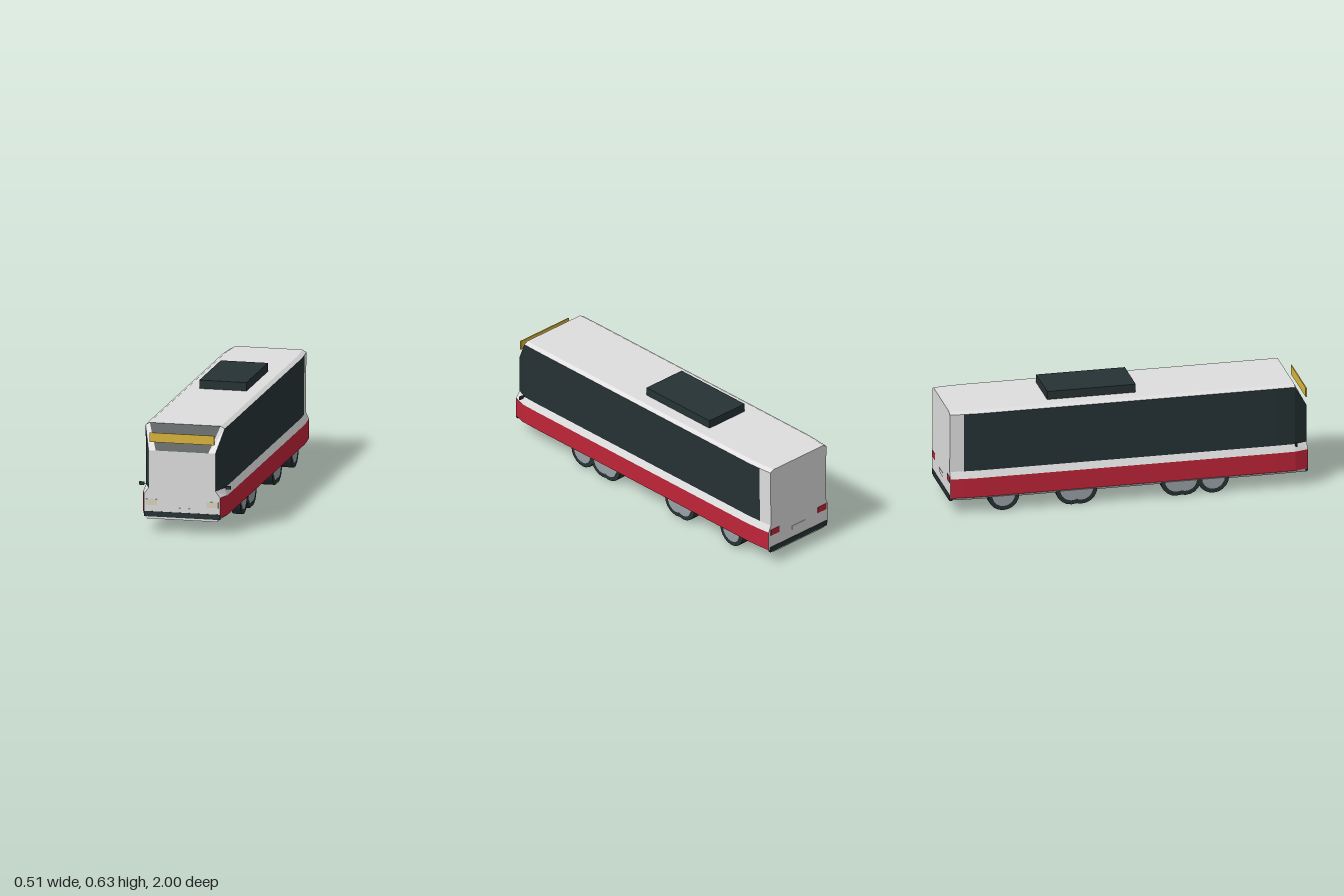
import * as THREE from 'three';

const mat = (name, color, side = THREE.DoubleSide) => {
  const m = new THREE.MeshStandardMaterial({ color, side });
  m.name = name;
  return m;
};

export function createModel() {
  const bus = new THREE.Group();
  bus.name = 'bus';
  const white = mat('white paint', 0xdedede);
  const red = mat('red stripe', 0xbe2438);
  const dark = mat('dark glass and rubber', 0x263234);
  const yellow = mat('yellow sign', 0xdcb63e);
  const cream = mat('headlight cream', 0xdcd3bf);
  const grey = mat('hub grey', 0x98a1a6);

  const add = (name, geometry, material, x = 0, y = 0, z = 0) => {
    const m = new THREE.Mesh(geometry, material);
    m.name = name;
    m.position.set(x, y, z);
    bus.add(m);
    return m;
  };
  // Box given by its limits
  const box = (name, material, x0, x1, y0, y1, z0, z1) =>
    add(name, new THREE.BoxGeometry(x1 - x0, y1 - y0, z1 - z0), material,
      (x0 + x1) / 2, (y0 + y1) / 2, (z0 + z1) / 2);

  // Half cross-sections from sill to roof edge, along z
  const main = [[0.20, 0.07], [0.237, 0.095], [0.237, 0.205], [0.22, 0.243], [0.223, 0.575], [0.20, 0.588]];
  const inset = d => main.map(([x, y]) => [x - d, y]);
  const nose = [[0.195, 0.07], [0.213, 0.095], [0.213, 0.205], [0.187, 0.24], [0.187, 0.45], [0.147, 0.45]];
  const stations = [
    [-0.998, inset(0.013)], [-0.92, inset(0.005)], [-0.84, main],
    [0.82, main], [0.925, inset(0.002)], [0.998, nose],
  ];
  const ring = half => [...half, ...half.slice().reverse().map(([x, y]) => [-x, y])];

  // Body shell: loft between the stations, sorted into colour bands
  const bands = { body: [white, []], stripes: [red, []], glazing: [dark, []] };
  const bandOf = (i, j) => {
    const k = Math.min(j, 10 - j);
    if (k === 1) return 'stripes';
    if (k === 3 && i > 0) return 'glazing';
    if (k === 5 && i === stations.length - 2) return 'glazing';
    return 'body';
  };
  for (let i = 0; i < stations.length - 1; i++) {
    const [z0, h0] = stations[i], [z1, h1] = stations[i + 1];
    const r0 = ring(h0), r1 = ring(h1);
    for (let j = 0; j < 11; j++) {
      const a = [...r0[j], z0], b = [...r1[j], z1];
      const c = [...r1[j + 1], z1], d = [...r0[j + 1], z0];
      bands[bandOf(i, j)][1].push(...a, ...d, ...c, ...a, ...c, ...b);
    }
  }
  for (const [name, [material, points]] of Object.entries(bands)) {
    const g = new THREE.BufferGeometry();
    g.setAttribute('position', new THREE.Float32BufferAttribute(points, 3));
    g.computeVertexNormals();
    add(name, g, material);
  }

  // End walls and the two inner bulkheads seen through the open floor
  const wall = (name, half, z, back) => {
    const s = new THREE.Shape(ring(half).map(([x, y]) => new THREE.Vector2(x, y)));
    const m = add(name, new THREE.ShapeGeometry(s), white, 0, 0, z);
    if (back) m.rotation.y = Math.PI;
  };
  wall('frontWall', nose, 0.998, false);
  wall('rearWall', inset(0.013), -0.998, true);
  wall('frontBulkhead', inset(0.015), 0.49, false);
  wall('rearBulkhead', inset(0.015), -0.49, true);

  // Front and rear fittings
  box('frontBumper', dark, -0.213, 0.213, 0.082, 0.111, 0.985, 1);
  box('rearBumper', dark, -0.213, 0.213, 0.077, 0.108, -1, -0.985);
  box('frontPlate', white, -0.048, 0.048, 0.114, 0.136, 0.996, 1);
  box('rearPlate', white, -0.048, 0.048, 0.155, 0.177, -1, -0.996);
  box('destinationSign', yellow, -0.18, 0.18, 0.497, 0.549, 0.994, 1);
  for (const s of [-1, 1]) {
    const pair = (name, m, x0, x1, ...rest) =>
      box(name, m, Math.min(s * x0, s * x1), Math.max(s * x0, s * x1), ...rest);
    pair('headlight', cream, 0.139, 0.203, 0.146, 0.179, 0.995, 1);
    pair('tailLight', red, 0.145, 0.21, 0.18, 0.215, -1, -0.995);
    pair('innerTailLight', red, 0.145, 0.205, 0.18, 0.215, -0.495, -0.488);
    pair('innerHeadlight', cream, 0.139, 0.2, 0.146, 0.179, 0.486, 0.494);
    pair('mirror', dark, 0.229, 0.256, 0.239, 0.257, 0.923, 0.931);
    pair('mirrorArm', dark, 0.2, 0.23, 0.246, 0.25, 0.925, 0.929);
  }

  // Roof unit
  box('roofUnit', dark, -0.132, 0.132, 0.585, 0.635, -0.437, 0.057);

  // Slatted cross members under the floor
  for (let i = 0; i < 4; i++) {
    const z = 0.04 * i;
    box('crossMember', dark, -0.2, 0.2, 0.075, 0.1, 0.465 - z, 0.49 - z);
    box('crossMember', dark, -0.2, 0.2, 0.075, 0.1, -0.49 + z, -0.465 + z);
  }

  // Wheels: z and inner x limit
  const R = 0.088;
  const wheels = [[0.47, 0.165], [0.315, 0.165], [0.265, 0.125], [-0.265, 0.125], [-0.32, 0.165], [-0.7, 0.125]];
  for (const [z, inner] of wheels) {
    for (const s of [-1, 1]) {
      const width = 0.218 - inner;
      const tyre = add('tyre', new THREE.CylinderGeometry(R, R, width, 20), dark, s * (inner + width / 2), R, z);
      const hub = add('hub', new THREE.CylinderGeometry(0.064, 0.064, 0.008, 20), grey, s * 0.216, R, z);
      tyre.rotation.z = hub.rotation.z = Math.PI / 2;
    }
  }
  return bus;
}
